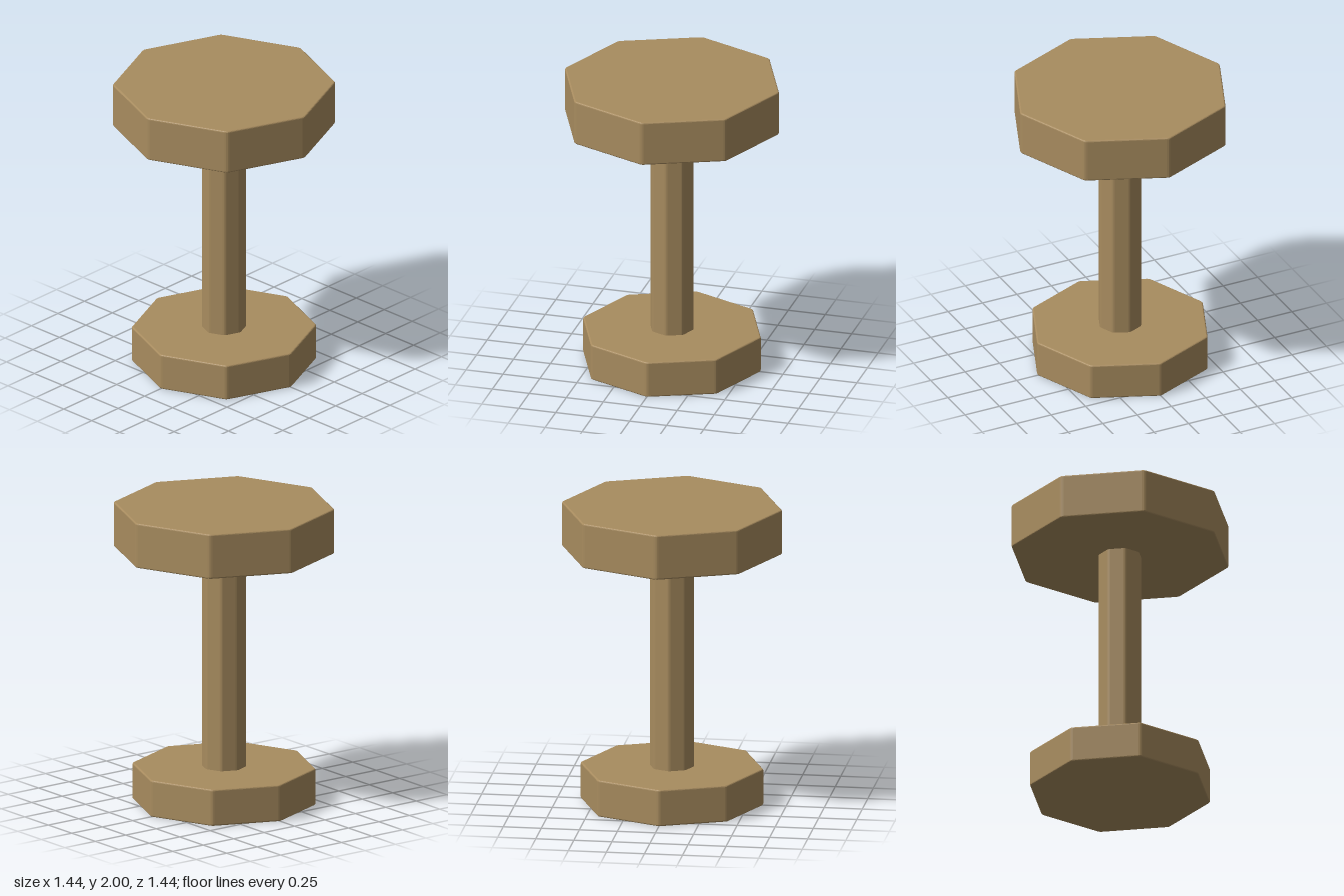
import * as THREE from 'three';

// Octagon with points on the axes and slightly rounded corners
function octagon(radius, round) {
  const pts = Array.from({ length: 8 }, (_, i) =>
    new THREE.Vector2(Math.cos(i * Math.PI / 4), Math.sin(i * Math.PI / 4)).multiplyScalar(radius));
  const side = pts[0].distanceTo(pts[1]);
  const shape = new THREE.Shape();
  pts.forEach((p, i) => {
    const a = p.clone().lerp(pts[(i + 7) % 8], round / side);
    const b = p.clone().lerp(pts[(i + 1) % 8], round / side);
    if (i === 0) shape.moveTo(a.x, a.y);
    else shape.lineTo(a.x, a.y);
    shape.quadraticCurveTo(p.x, p.y, b.x, b.y);
  });
  shape.closePath();
  return shape;
}

// Upright octagonal block from y0 to y1 with softened rims
function block(name, radius, y0, y1, round, bevel, material) {
  const geometry = new THREE.ExtrudeGeometry(octagon(radius, round), {
    depth: y1 - y0 - 2 * bevel,
    curveSegments: 3,
    bevelEnabled: true,
    bevelThickness: bevel,
    bevelSize: bevel,
    bevelOffset: -bevel,
    bevelSegments: 3,
  });
  geometry.rotateX(-Math.PI / 2);
  geometry.translate(0, y0 + bevel, 0);
  const mesh = new THREE.Mesh(geometry, material);
  mesh.name = name;
  return mesh;
}

export function createModel() {
  const wood = new THREE.MeshStandardMaterial({ color: 0xa88c5f });
  wood.name = 'wood';

  const group = new THREE.Group();
  group.name = 'pedestalStool';
  group.add(
    block('base', 0.602, 0, 0.245, 0.016, 0.01, wood),
    block('post', 0.147, 0.225, 1.72, 0.014, 0.008, wood),
    block('seat', 0.725, 1.7, 2, 0.018, 0.01, wood),
  );
  return group;
}
